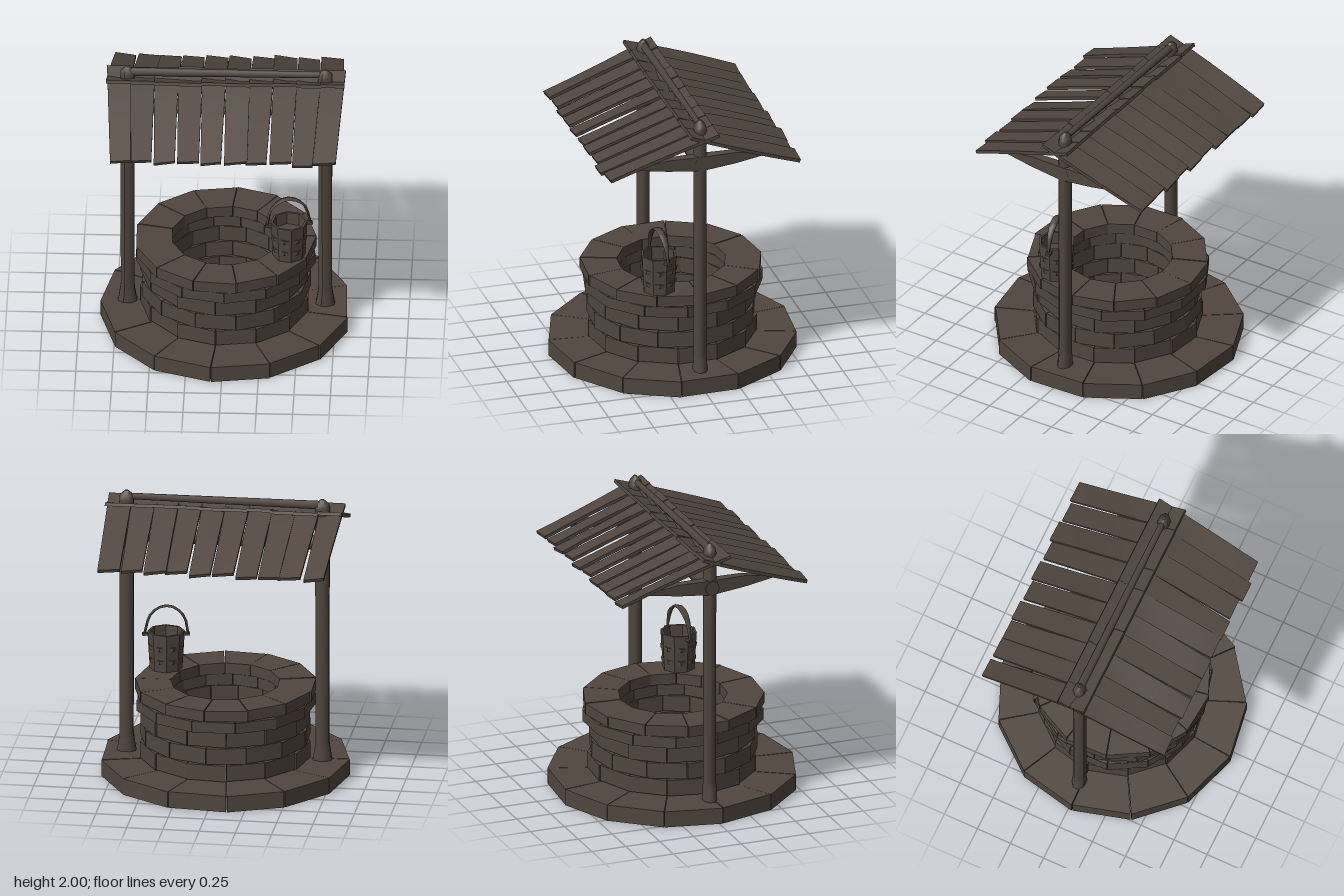
import * as THREE from 'three';

const wood = new THREE.MeshStandardMaterial({ color: 0x51463f });
wood.name = 'dark brown';

// Small seeded jitter in -1..1
let seed = 7;
function jitter() {
  seed = (seed * 16807) % 2147483647;
  return (seed / 2147483647) * 2 - 1;
}

function add(parent, geometry, name, x = 0, y = 0, z = 0) {
  const mesh = new THREE.Mesh(geometry, wood);
  mesh.name = name;
  mesh.position.set(x, y, z);
  parent.add(mesh);
  return mesh;
}

// Move every vertex of a geometry by a rule
function warp(geometry, rule) {
  const p = geometry.attributes.position;
  const v = new THREE.Vector3();
  for (let i = 0; i < p.count; i++) {
    v.fromBufferAttribute(p, i);
    rule(v);
    p.setXYZ(i, v.x, v.y, v.z);
  }
  geometry.computeVertexNormals();
  return geometry;
}

// Ring of separate wedge stones; angles run from +z towards +x
function stoneRing(parent, name, count, start, r0, r1, y0, y1, gap, wobble) {
  const ring = new THREE.Group();
  ring.name = name;
  const step = (Math.PI * 2) / count;
  for (let i = 0; i < count; i++) {
    const a = start + i * step + gap / 2;
    const out = r1 + jitter() * wobble;
    const top = y1 + jitter() * wobble * 0.3;
    const stone = warp(new THREE.BoxGeometry(1, 1, 1), (v) => {
      const angle = a + (v.x + 0.5) * (step - gap);
      const r = v.z > 0 ? out : r0;
      v.set(Math.sin(angle) * r, v.y > 0 ? top : y0, Math.cos(angle) * r);
    });
    add(ring, stone, 'stone');
  }
  parent.add(ring);
}

// One slope of roof planks, facing +z, crossing a little past the ridge
function roofSlope(name) {
  const slope = new THREE.Group();
  slope.name = name;
  for (let i = 0; i < 10; i++) {
    const x0 = -0.733 + i * 0.163;
    const length = 0.775 + jitter() * 0.012;
    const roll = 0.14 + jitter() * 0.1;
    const shift = -x0 * 0.04 + jitter() * 0.012;
    const lift = jitter() * 0.006;
    const endWidth = 0.9 + jitter() * 0.06;
    const plank = warp(new THREE.BoxGeometry(0.166, 0.022, 1, 1, 1, 5), (v) => {
      const t = v.z + 0.5;
      const z = -0.1 + t * length;
      const w = v.x * (1 + (endWidth - 1) * t);
      const twist = roll * Math.sin(t * 2.4);
      const y = 1.893 - 0.355 * z + lift + v.y + w * twist;
      v.set(x0 + w + shift * t, y, z + v.y * 0.35);
    });
    add(slope, plank, 'roofPlank');
  }
  return slope;
}

function buildPost(x) {
  const post = new THREE.Group();
  post.name = 'post';
  const side = Math.sign(x);
  // Square-ish shaft with chamfered corners, flared foot and pointed cap
  const sections = [[0.11, 0.066, 0.046], [0.2, 0.052, 0.043], [0.25, 0.046, 0.041],
    [1.0, 0.047, 0.041], [1.93, 0.049, 0.042], [1.965, 0.047, 0.036], [2.0, 0.012, 0.008]];
  const shaft = warp(new THREE.CylinderGeometry(1, 1, 6, 8, 6), (v) => {
    const s = sections[Math.round(v.y + 3)];
    const a = Math.atan2(v.z, v.x) + Math.PI / 8;
    const r = Math.hypot(v.x, v.z) > 0.1 ? 1.08 : 0;
    v.set(Math.cos(a) * r * s[1], s[0], Math.sin(a) * r * s[2]);
  });
  add(post, shaft, 'postShaft');

  // Gable brace, deep at the post and tapering to the eaves
  const brace = warp(new THREE.BoxGeometry(0.07, 1, 0.96, 1, 1, 4), (v) => {
    const t = Math.abs(v.z) / 0.48;
    const low = t < 0.25 ? 1.635 : 1.64 + (t - 0.25) * 0.075;
    v.x *= 1 - 0.4 * t;
    v.y = v.y > 0 ? (t > 0.9 ? 1.705 : 1.74) : low;
  });
  add(post, brace, 'gableBrace', side * 0.015);
  post.position.x = x;
  return post;
}

function buildBucket() {
  const bucket = new THREE.Group();
  bucket.name = 'bucket';
  // Hollow eight-sided pail
  const profile = [[0, 0], [0.112, 0], [0.128, 0.268], [0.112, 0.268], [0.1, 0.03], [0, 0.03]]
    .map(([r, y]) => new THREE.Vector2(r, y));
  const pail = new THREE.LatheGeometry(profile, 8).toNonIndexed();
  pail.computeVertexNormals();
  add(bucket, pail, 'pail');

  // Hoops turned against the pail so only their corners show
  for (const [y, r] of [[0.07, 0.121], [0.165, 0.127]]) {
    const hoop = new THREE.CylinderGeometry(r, r - 0.002, 0.028, 8, 1).toNonIndexed();
    hoop.computeVertexNormals();
    const open = new THREE.Mesh(hoop, wood);
    // Closed discs would fill the pail, so keep only the side faces
    hoop.setDrawRange(0, 48);
    open.name = 'hoop';
    open.position.y = y;
    open.rotation.y = Math.PI / 8;
    bucket.add(open);
  }

  // Ears and bent handle
  for (const s of [-1, 1]) {
    add(bucket, new THREE.BoxGeometry(0.05, 0.016, 0.035), 'ear', s * 0.138, 0.245, 0);
  }
  const path = [[-0.15, 0.245], [-0.128, 0.36], [-0.08, 0.42], [-0.02, 0.448],
    [0.05, 0.435], [0.11, 0.38], [0.148, 0.245]].map(([x, y]) => new THREE.Vector3(x, y, 0));
  const curve = new THREE.CatmullRomCurve3(path);
  const handle = warp(new THREE.TubeGeometry(curve, 12, 0.009, 4), (v) => {
    v.z *= 0.8 + 2.2 * Math.max(0, (v.y - 0.24) / 0.2);
  });
  add(bucket, handle, 'handle');
  bucket.position.set(0.44, 0.645, 0.222);
  bucket.rotation.y = 0.16;
  return bucket;
}

export function createModel() {
  const model = new THREE.Group();
  model.name = 'well';
  const start = THREE.MathUtils.degToRad(78);

  // Stone base, three wall courses and a two-layer rim
  stoneRing(model, 'base', 13, start, 0.375, 0.855, 0, 0.115, 0.006, 0.004);
  for (let i = 0; i < 3; i++) {
    const y = 0.122 + i * 0.121;
    stoneRing(model, 'wallCourse', 13, start + (i % 2) * 0.24, 0.39, 0.58, y, y + 0.114, 0.008, 0.008);
  }
  stoneRing(model, 'lowerRim', 13, start + 0.1, 0.385, 0.622, 0.484, 0.562, 0.008, 0.006);
  stoneRing(model, 'upperRim', 13, start + 0.24, 0.375, 0.622, 0.567, 0.645, 0.008, 0.006);

  // Frame
  model.add(buildPost(-0.672), buildPost(0.68));
  const beam = new THREE.CylinderGeometry(0.052, 0.052, 1.46, 8);
  beam.rotateZ(Math.PI / 2);
  add(model, beam, 'crossBeam', 0, 1.685, 0);
  const ridge = new THREE.CylinderGeometry(0.022, 0.03, 1.38, 6);
  ridge.rotateZ(-Math.PI / 2);
  add(model, ridge, 'ridgePole', 0, 1.958, 0);

  // Roof
  const back = roofSlope('backRoof');
  back.rotation.y = Math.PI;
  model.add(roofSlope('frontRoof'), back);

  model.add(buildBucket());
  return model;
}
